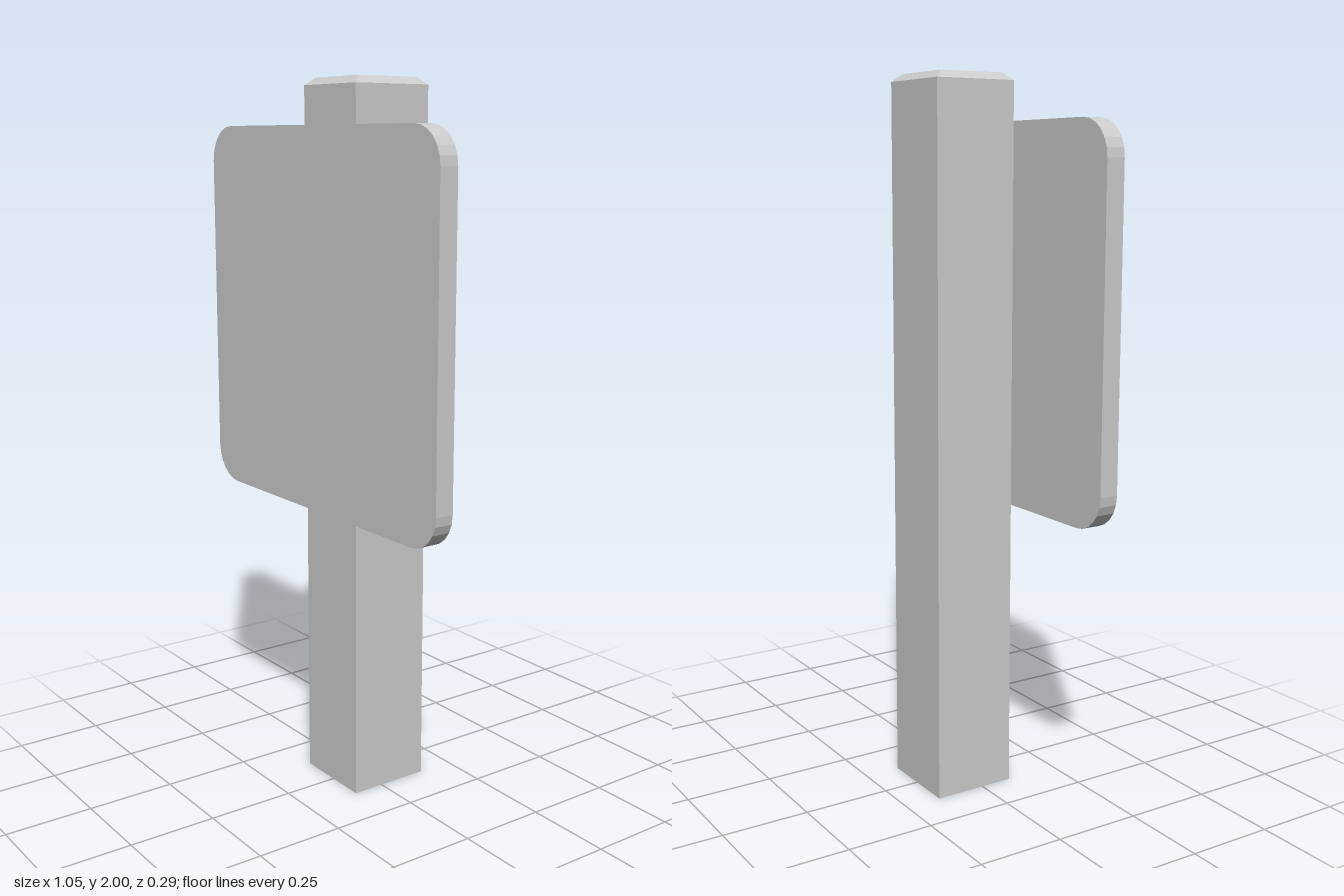
import * as THREE from 'three';

function roundedRect(w, h, r) {
  const s = new THREE.Shape();
  const x = w / 2 - r, y = h / 2 - r;
  s.absarc(x, y, r, 0, Math.PI / 2);
  s.absarc(-x, y, r, Math.PI / 2, Math.PI);
  s.absarc(-x, -y, r, Math.PI, Math.PI * 1.5);
  s.absarc(x, -y, r, Math.PI * 1.5, Math.PI * 2);
  s.closePath();
  return s;
}

export function createModel() {
  const group = new THREE.Group();
  const material = new THREE.MeshStandardMaterial({
    color: 0xcccccc, flatShading: true, side: THREE.DoubleSide,
  });

  // Square post, open at the bottom, with a chamfered top
  const half = 0.119, chamfer = 0.023;
  const profile = [[half, 0], [half, 1.98], [half - chamfer, 2], [0, 2]]
    .map(([d, y]) => new THREE.Vector2(d * Math.SQRT2, y));
  const post = new THREE.Mesh(new THREE.LatheGeometry(profile, 4, Math.PI / 4), material);
  post.name = 'post';
  post.position.set(-0.005, 0, -0.027);
  group.add(post);

  // Sign board with rounded corners, flush against the front of the post
  const board = new THREE.Mesh(
    new THREE.ExtrudeGeometry(roundedRect(1.052, 1.05, 0.1), {
      depth: 0.054, bevelEnabled: false, curveSegments: 3,
    }),
    material,
  );
  board.name = 'signBoard';
  board.position.set(0, 1.35, 0.092);
  group.add(board);

  return group;
}
